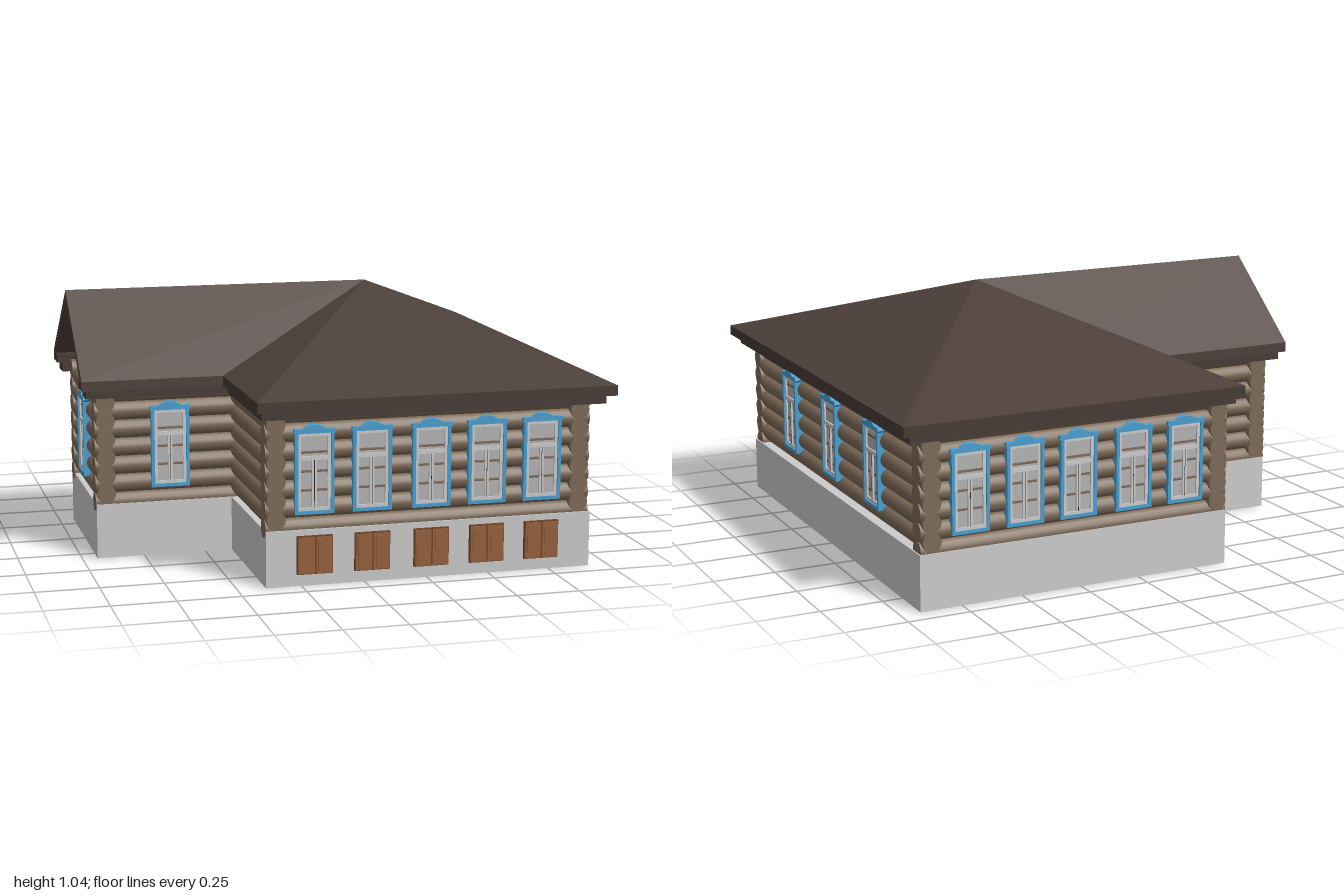
import * as THREE from 'three';

const mat = (color, extra = {}) => new THREE.MeshStandardMaterial({ color, ...extra });

export function createModel() {
  const house = new THREE.Group();
  house.name = 'logHouse';
  const stone = mat(0xcccccc), glass = mat(0xcccccc), pane = mat(0xb4b4b4);
  const log = mat(0x7d6a58), gap = mat(0x3a2f27);
  const roof = mat(0x4d403a, { side: THREE.DoubleSide });
  const trim = mat(0x463a35), blue = mat(0x4a9fd0), wood = mat(0x96603c), darkWood = mat(0x6e4428);

  const add = (parent, name, geo, material) => {
    const m = new THREE.Mesh(geo, material);
    m.name = name;
    parent.add(m);
    return m;
  };
  // Box given by its limits on each axis
  const box = (parent, name, x0, x1, y0, y1, z0, z1, material) => {
    const m = add(parent, name, new THREE.BoxGeometry(x1 - x0, y1 - y0, z1 - z0), material);
    m.position.set((x0 + x1) / 2, (y0 + y1) / 2, (z0 + z1) / 2);
    return m;
  };

  // Foundations: solid under the house, hollow under the wing
  box(house, 'mainFoundation', -0.39, 0.92, 0, 0.22, -0.925, 0.92, stone);
  box(house, 'wingFoundationEnd', -0.94, -0.9, 0, 0.22, -0.33, 0.33, stone);
  for (const s of [-1, 1]) {
    const z = s * 0.31;
    box(house, 'wingFoundationSide', -0.9, -0.39, 0, 0.22, z - 0.02, z + 0.02, stone);
  }

  // Log walls: crossing courses are staggered by half a log
  const R = 0.038, STEP = 0.0735;
  const logWall = (name, alongX, from, to, at) => {
    const wall = new THREE.Group();
    wall.name = name;
    house.add(wall);
    const geo = new THREE.CylinderGeometry(R, R, to - from, 16);
    const mid = (from + to) / 2;
    for (let i = 0; i < 6; i++) {
      const m = add(wall, 'log', geo, log);
      const y = 0.262 + i * STEP + (alongX ? STEP / 2 : 0);
      if (alongX) {
        m.rotation.z = Math.PI / 2;
        m.position.set(mid, y, at);
      } else {
        m.rotation.x = Math.PI / 2;
        m.position.set(at, y, mid);
      }
    }
    // half log at the bottom of the staggered courses
    if (alongX) {
      const half = add(wall, 'bottomLog', geo, log);
      half.rotation.z = Math.PI / 2;
      half.position.set(mid, 0.262 - STEP / 2, at);
    }
  };
  box(house, 'mainWallCore', -0.34, 0.86, 0.215, 0.67, -0.87, 0.87, gap);
  logWall('frontWall', true, -0.39, 0.914, 0.876);
  logWall('backWall', true, -0.39, 0.914, -0.884);
  logWall('rightWall', false, -0.928, 0.921, 0.87);
  logWall('leftWall', false, -0.928, 0.921, -0.35);
  for (const s of [-1, 1]) {
    logWall('wingSideWall', true, -0.942, -0.35, s * 0.29);
    box(house, 'wingWallCore', -0.9, -0.35, 0.22, 0.67, s * 0.29 - 0.01, s * 0.29 + 0.01, gap);
  }
  logWall('wingEndWall', false, -0.336, 0.336, -0.9);
  box(house, 'wingWallCore', -0.91, -0.89, 0.22, 0.67, -0.29, 0.29, gap);

  // Main roof: pyramid over two stepped eave bands
  const apex = [0.26, 1.04, 0];
  const corners = [[-0.435, 0.73, 0.98], [1, 0.73, 0.98], [1, 0.73, -0.98], [-0.435, 0.73, -0.98]];
  const points = corners.flatMap((c, i) => [...c, ...corners[(i + 1) % 4], ...apex]);
  const pyramid = new THREE.BufferGeometry();
  pyramid.setAttribute('position', new THREE.Float32BufferAttribute(points, 3));
  pyramid.computeVertexNormals();
  add(house, 'mainRoof', pyramid, roof);
  box(house, 'mainFascia', -0.435, 1, 0.69, 0.73, -0.98, 0.98, trim);
  box(house, 'mainEaveBand', -0.412, 0.965, 0.655, 0.69, -0.95, 0.95, trim);

  // Wing roof: gabled slab running into the main roof
  const slab = new THREE.Shape([
    [-0.39, 0.69], [-0.39, 0.73], [0, 1.04], [0.39, 0.73], [0.39, 0.69], [0, 1.0],
  ].reverse().map(([x, y]) => new THREE.Vector2(x, y)));
  const slabGeo = new THREE.ExtrudeGeometry(slab, { depth: 1.26, bevelEnabled: false });
  slabGeo.rotateY(Math.PI / 2);
  add(house, 'wingRoof', slabGeo, roof).position.x = -1;
  for (const s of [-1, 1]) {
    const band = (name, x0, y0, y1, a, b) =>
      box(house, name, x0, -0.4, y0, y1, Math.min(s * a, s * b), Math.max(s * a, s * b), trim);
    band('wingFascia', -0.998, 0.69, 0.725, 0.3, 0.389);
    band('wingEaveBand', -0.98, 0.655, 0.69, 0.28, 0.365);
  }
  // Gable wall, set back under the overhang
  const gable = new THREE.Shape();
  gable.moveTo(-0.33, 0.66).lineTo(0.33, 0.66).lineTo(0.33, 0.75).lineTo(0, 1.01).lineTo(-0.33, 0.75);
  const gableGeo = new THREE.ExtrudeGeometry(gable, { depth: 0.03, bevelEnabled: false });
  gableGeo.rotateY(Math.PI / 2);
  add(house, 'wingGable', gableGeo, trim).position.x = -0.92;

  // Windows: carved blue surround with an arched head, transom and two casements
  const surround = new THREE.Shape();
  surround.moveTo(-0.077, 0.28).lineTo(0.077, 0.28).lineTo(0.077, 0.59).lineTo(0.083, 0.598)
    .lineTo(0.08, 0.61).lineTo(0.045, 0.61);
  surround.quadraticCurveTo(0, 0.642, -0.045, 0.61);
  surround.lineTo(-0.08, 0.61).lineTo(-0.083, 0.598).lineTo(-0.077, 0.59);
  surround.holes.push(new THREE.Path([[-0.064, 0.293], [-0.064, 0.593], [0.064, 0.593], [0.064, 0.293]]
    .map(([x, y]) => new THREE.Vector2(x, y))));
  const surroundGeo = new THREE.ExtrudeGeometry(surround, { depth: 0.05, bevelEnabled: false, curveSegments: 8 });
  const addWindow = (x, z, turn) => {
    const w = new THREE.Group();
    w.name = 'window';
    w.position.set(x, 0, z);
    w.rotation.y = turn;
    house.add(w);
    add(w, 'windowSurround', surroundGeo, blue);
    box(w, 'windowGlass', -0.064, 0.064, 0.293, 0.593, 0, 0.037, pane);
    // sash bars
    for (const bx of [-0.058, 0.058]) box(w, 'sashPost', bx - 0.006, bx + 0.006, 0.293, 0.593, 0.03, 0.044, glass);
    for (const [y, h] of [[0.299, 0.006], [0.497, 0.008], [0.587, 0.006]])
      box(w, 'sashRail', -0.052, 0.052, y - h, y + h, 0.03, 0.044, glass);
    box(w, 'sashMullion', -0.009, 0.009, 0.305, 0.489, 0.03, 0.044, glass);
    box(w, 'sashGap', -0.001, 0.001, 0.305, 0.489, 0.03, 0.0445, gap);
  };
  const columns = [-0.2, 0.028, 0.265, 0.49, 0.715];
  for (const x of columns) {
    addWindow(x, 0.876, 0);
    addWindow(x, -0.884, Math.PI);
  }
  for (const z of [0.467, 0.006, -0.447]) addWindow(0.87, z, Math.PI / 2);
  addWindow(-0.64, 0.29, 0);
  addWindow(-0.9, 0, -Math.PI / 2);

  // Basement shutters: framed pairs of panels
  for (const x of columns) {
    const shutters = new THREE.Group();
    shutters.name = 'basementShutters';
    shutters.position.set(x, 0, 0.92);
    house.add(shutters);
    box(shutters, 'shutterBack', -0.07, 0.07, 0.047, 0.197, -0.01, 0.012, darkWood);
    for (const s of [-1, 1]) {
      const c = s * 0.035;
      box(shutters, 'shutterLeaf', c - 0.032, c + 0.032, 0.051, 0.193, 0, 0.017, wood);
      box(shutters, 'shutterPanel', c - 0.023, c + 0.023, 0.062, 0.182, 0, 0.021, wood);
    }
  }
  return house;
}
